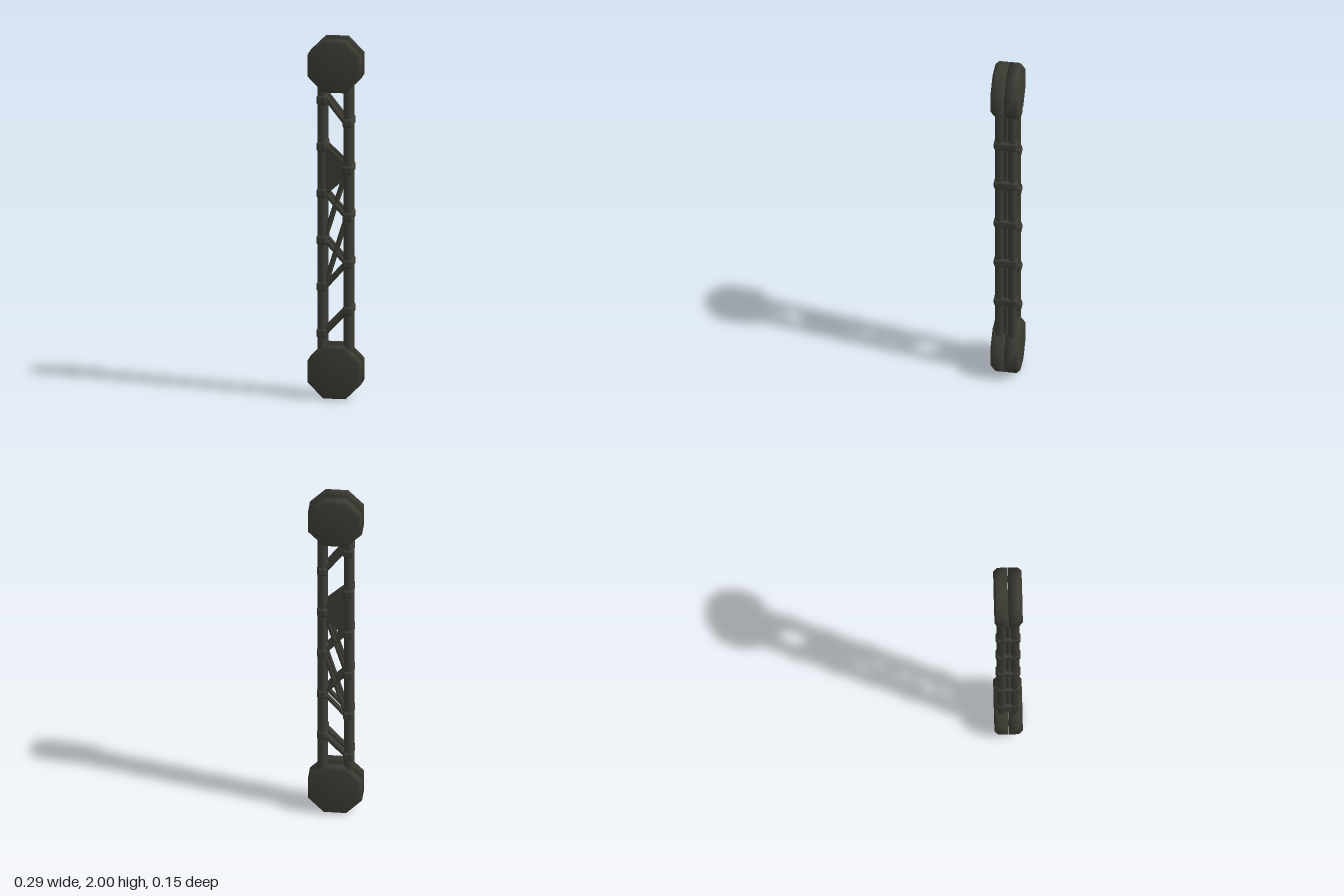
import * as THREE from 'three';
import { RoundedBoxGeometry } from 'three/addons/geometries/RoundedBoxGeometry.js';

export function createModel() {
  const group = new THREE.Group();
  const iron = new THREE.MeshStandardMaterial({ color: 0x3d3d35 });
  const add = (name, geometry, x = 0, y = 0, z = 0) => {
    const mesh = new THREE.Mesh(geometry, iron);
    mesh.name = name;
    mesh.position.set(x, y, z);
    group.add(mesh);
    return mesh;
  };

  // Bevelled octagonal end plates, two at each end with a narrow slit between
  const profile = [[0, 0.002], [0.159, 0.002], [0.159, 0.056], [0.141, 0.076], [0, 0.076]]
    .map(([r, h]) => new THREE.Vector2(r, h));
  const plate = new THREE.LatheGeometry(profile, 8, Math.PI / 8).rotateX(Math.PI / 2);
  for (const y of [0.147, 1.853]) {
    add('frontEndPlate', plate, 0, y, 0);
    add('backEndPlate', plate, 0, y, 0).rotation.y = Math.PI;
  }

  // Four corner posts and a thin rod between each side pair
  const post = new THREE.CylinderGeometry(0.025, 0.025, 1.56, 8);
  const rod = new THREE.CylinderGeometry(0.015, 0.015, 1.47, 8);
  for (const x of [-0.071, 0.071]) {
    for (const z of [-0.036, 0.036]) add('cornerPost', post, x, 1, z);
    add('sideRod', rod, x, 1, 0);
  }

  // Collars binding the posts, staggered left and right
  const collar = new RoundedBoxGeometry(0.056, 0.052, 0.13, 2, 0.014);
  for (let i = 0; i < 6; i++) add('rightCollar', collar, -0.071, 0.362 + i * 0.26, 0);
  for (let i = 0; i < 5; i++) add('leftCollar', collar, 0.071, 0.49 + i * 0.262, 0);

  // Diagonal braces on the front and back faces: x1, y1, x2, y2, radius
  const braces = [
    [-0.07, 1.7, 0.07, 1.52, 0.015],
    [-0.07, 1.16, 0.07, 1.0, 0.013],
    [-0.07, 0.9, 0.07, 0.74, 0.013],
    [-0.07, 0.6, 0.07, 0.76, 0.014],
    [-0.07, 0.35, 0.07, 0.5, 0.018],
    [0.07, 1.3, -0.07, 0.85, 0.012],
    [0.07, 1.04, -0.07, 0.58, 0.012],
  ];
  const up = new THREE.Vector3(0, 1, 0);
  for (const [x1, y1, x2, y2, r] of braces) {
    const a = new THREE.Vector3(x1, y1, 0);
    const d = new THREE.Vector3(x2, y2, 0).sub(a);
    const bar = new THREE.CylinderGeometry(r, r, d.length(), 8);
    for (const z of [-0.034, 0.034]) {
      const mesh = add('diagonalBrace', bar, (x1 + x2) / 2, (y1 + y2) / 2, z);
      mesh.quaternion.setFromUnitVectors(up, d.clone().normalize());
    }
  }

  // Triangular gusset filling one bay
  const shape = new THREE.Shape([[-0.06, 1.42], [-0.06, 1.12], [0.07, 1.24], [0.07, 1.3]]
    .map(([x, y]) => new THREE.Vector2(x, y)));
  const gusset = new THREE.ExtrudeGeometry(shape, { depth: 0.02, bevelEnabled: false });
  for (const z of [-0.044, 0.024]) add('gusset', gusset, 0, 0, z);

  return group;
}
